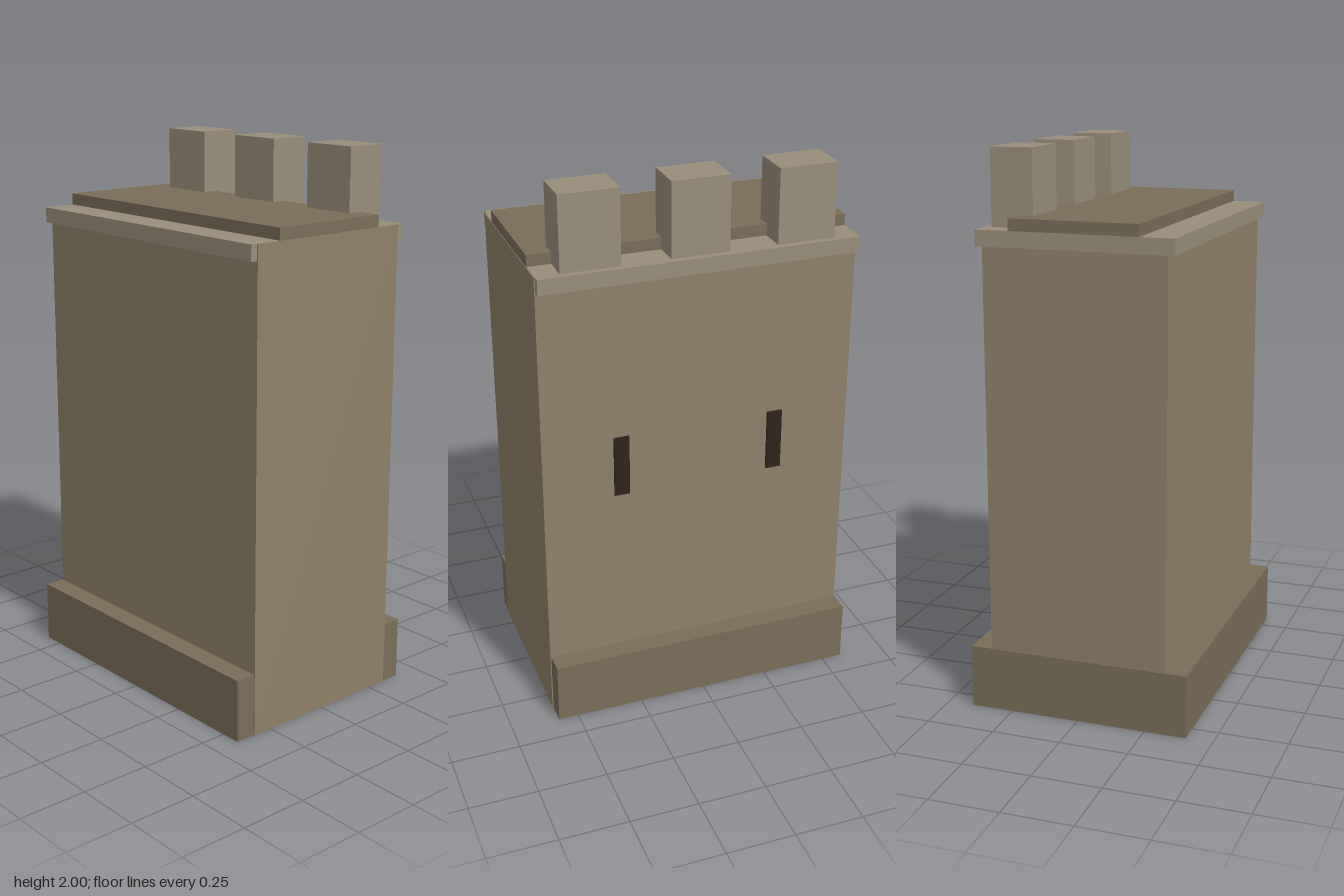
import * as THREE from 'three';

const stone = { color: 0x8f8068 }, pale = { color: 0x9a8e7a }, dark = { color: 0x7a6c58 }, slit = { color: 0x2e231b };
const FACES = ['+x', '-x', '+y', '-y', '+z', '-z'];

// Box given by its limits on each axis; the faces listed in skip are left open
function block(name, look, [x0, x1], [y0, y1], [z0, z1], skip = []) {
  const geo = new THREE.BoxGeometry(x1 - x0, y1 - y0, z1 - z0);
  geo.translate((x0 + x1) / 2, (y0 + y1) / 2, (z0 + z1) / 2);
  if (skip.length) {
    const index = Array.from(geo.index.array);
    geo.setIndex(index.filter((_, i) => !skip.includes(FACES[Math.floor(i / 6)])));
    geo.clearGroups();
  }
  const side = skip.length ? THREE.DoubleSide : THREE.FrontSide;
  const mesh = new THREE.Mesh(geo, new THREE.MeshStandardMaterial({ ...look, side }));
  mesh.name = name;
  return mesh;
}

export function createModel() {
  const model = new THREE.Group();
  model.name = 'wallSection';
  const bodyX = 0.327, baseX = 0.403, baseTop = 0.23, capTop = 1.73;
  const back = -0.577, front = 0.573;

  // Main wall, hollow underneath up to the top of the plinth
  model.add(block('wall', stone, [-bodyX, bodyX], [0, capTop], [-0.574, 0.577], ['-y']));
  const ceiling = block('cavityCeiling', dark, [-bodyX, bodyX], [baseTop - 0.01, baseTop], [-0.573, 0.575],
    ['+x', '-x', '+y', '+z', '-z']);
  model.add(ceiling);

  // Plinth: a ledge along each long side, closed across the back
  model.add(block('plinthLeft', dark, [bodyX, baseX], [0, baseTop], [back, front], ['-x', '-y']));
  model.add(block('plinthRight', dark, [-baseX, -bodyX], [0, baseTop], [back, front], ['+x', '-y']));
  model.add(block('plinthBack', dark, [-bodyX, bodyX], [0, baseTop], [back, -0.574],
    ['+x', '-x', '-y', '+z']));

  // Coping and walkway
  model.add(block('coping', pale, [-0.352, 0.352], [1.675, capTop + 0.001], [back, front]));
  model.add(block('walkway', dark, [-0.23, 0.23], [capTop, 1.773], [back, 0.575]));

  // Merlons along the outer edge
  for (const z of [-0.385, 0, 0.385]) {
    model.add(block('merlon', pale, [0.175, 0.328], [capTop, 2], [z - 0.105, z + 0.105]));
  }

  // Arrow slits on the outer face
  for (const z of [-0.288, 0.29]) {
    model.add(block('arrowSlit', slit, [0.32, 0.335], [0.87, 1.098], [z - 0.028, z + 0.028]));
  }
  return model;
}
